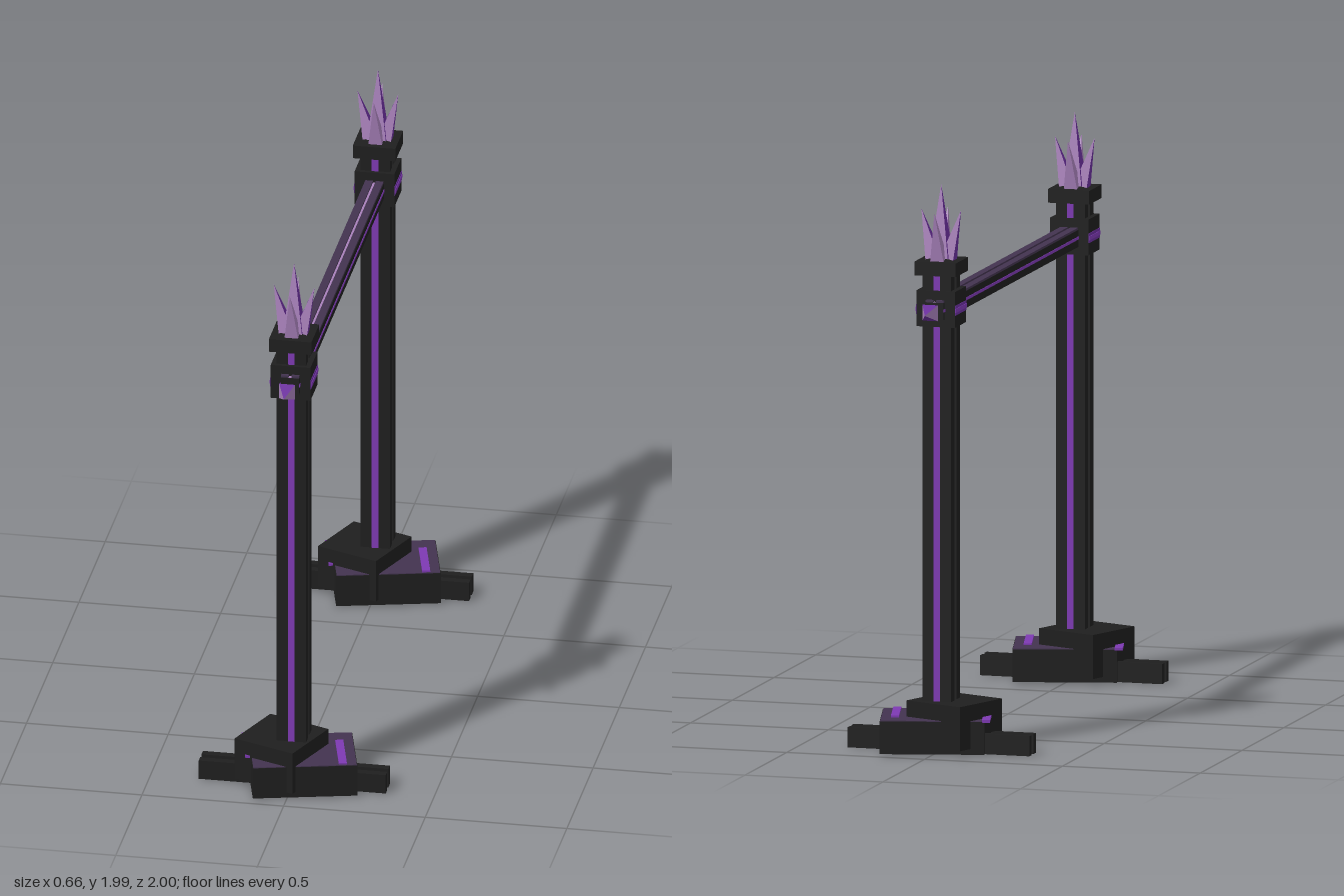
import * as THREE from 'three';

const mat = (name, color) => {
  const m = new THREE.MeshStandardMaterial({ color });
  m.name = name;
  return m;
};

export function createModel() {
  const black = mat('black stone', 0x1e1e1e);
  const purple = mat('purple inlay', 0x7d39b2);
  const mauve = mat('dark mauve', 0x42334f);
  const light = mat('light crystal', 0xa67fb8);
  const deep = mat('deep crystal', 0x6a2f9c);
  light.side = deep.side = THREE.DoubleSide;

  const model = new THREE.Group();

  // Box given by its size, centre, and turn about y
  function box(parent, name, material, [w, h, d], [x, y, z], turn = 0) {
    const mesh = new THREE.Mesh(new THREE.BoxGeometry(w, h, d), material);
    mesh.name = name;
    mesh.position.set(x, y, z);
    mesh.rotation.y = turn;
    parent.add(mesh);
    return mesh;
  }

  // Four-sided spike, face order +x, -z, -x, +z, base at the origin
  function spike(parent, name, radius, height, faceMaterials) {
    const geo = new THREE.ConeGeometry(radius * Math.SQRT2, height, 4, 1, true)
      .rotateY(Math.PI / 4).translate(0, height / 2, 0).toNonIndexed();
    geo.computeVertexNormals();
    geo.clearGroups();
    for (let i = 0; i < 4; i++) geo.addGroup(i * 3, 3, i);
    const mesh = new THREE.Mesh(geo, faceMaterials);
    mesh.name = name;
    parent.add(mesh);
    return mesh;
  }

  function crystals() {
    const group = new THREE.Group();
    group.name = 'crystalCluster';
    const mixed = [deep, light, deep, light];
    const pale = [light, light, light, light];
    spike(group, 'centreCrystal', 0.034, 0.257, mixed);
    for (const s of [-1, 1]) {
      const a = spike(group, 'sideCrystal', 0.024, 0.175, mixed);
      a.position.x = s * 0.027;
      a.rotation.z = -s * 0.26;
      const b = spike(group, 'endCrystal', 0.024, 0.175, pale);
      b.position.z = s * 0.03;
      b.rotation.x = s * 0.3;
    }
    group.position.y = 1.735;
    return group;
  }

  // Rubble-like foot of three crossed blocks
  function foot() {
    const g = new THREE.Group();
    g.name = 'foot';
    for (const s of [-1, 1]) {
      box(g, 'footBarHalf', black, [0.66, 0.07, 0.029], [0, 0.035, s * 0.0255]);
      box(g, 'footInlay', purple, [0.028, 0.0095, 0.19], [s * 0.165, 0.1245, 0], 0.25);
    }
    box(g, 'footBarCore', purple, [0.62, 0.04, 0.022], [0, 0.024, 0]);
    box(g, 'wideFootBlock', black, [0.364, 0.115, 0.267], [0.029, 0.0625, 0], 0.25);
    box(g, 'wideFootTop', mauve, [0.36, 0.004, 0.264], [0.029, 0.121, 0], 0.25);
    box(g, 'tallFootBlock', black, [0.236, 0.155, 0.236], [-0.045, 0.1025, 0.002], -0.37);
    return g;
  }

  function post() {
    const g = new THREE.Group();
    g.name = 'post';

    // Shaft of two halves with a glowing core in the slot and a line on each end face
    for (const s of [-1, 1]) {
      box(g, 'shaftHalf', black, [0.104, 1.58, 0.039], [0, 0.89, s * 0.0325]);
      box(g, 'shaftInlay', purple, [0.024, 1.5, 0.004], [0, 0.93, s * 0.052]);
    }
    box(g, 'shaftCore', purple, [0.05, 1.58, 0.026], [0, 0.89, 0]);

    // Collar and cap
    box(g, 'collar', black, [0.14, 0.126, 0.134], [0, 1.563, 0]);
    box(g, 'collarBand', deep, [0.144, 0.034, 0.132], [0, 1.56, 0]);
    box(g, 'collarLine', purple, [0.148, 0.014, 0.132], [0, 1.56, 0]);
    box(g, 'cap', black, [0.15, 0.048, 0.15], [0, 1.704, 0]);
    g.add(crystals());
    return g;
  }

  for (const s of [-1, 1]) {
    const p = post();
    p.position.z = s * 0.8;
    const f = foot();
    f.position.z = s * 0.795;
    model.add(p, f);

    // Pointed tip floating off each beam end
    const tip = spike(model, 'beamTip', 0.028, 0.066, [light, deep, light, deep]);
    tip.position.set(0, 1.56, s * 0.932);
    tip.rotation.x = s * Math.PI / 2;

    // Mauve top of the beam, split by a narrow groove
    box(model, 'beamTop', mauve, [0.027, 0.009, 1.76], [s * 0.0185, 1.591, 0]);
  }

  // Cross beam with side lines and a pale groove line
  box(model, 'beam', black, [0.066, 0.06, 1.765], [0, 1.558, 0]);
  box(model, 'beamGrooveLine', light, [0.01, 0.002, 1.76], [0, 1.588, 0]);
  box(model, 'beamSideLine', purple, [0.07, 0.01, 1.76], [0, 1.56, 0]);

  return model;
}
